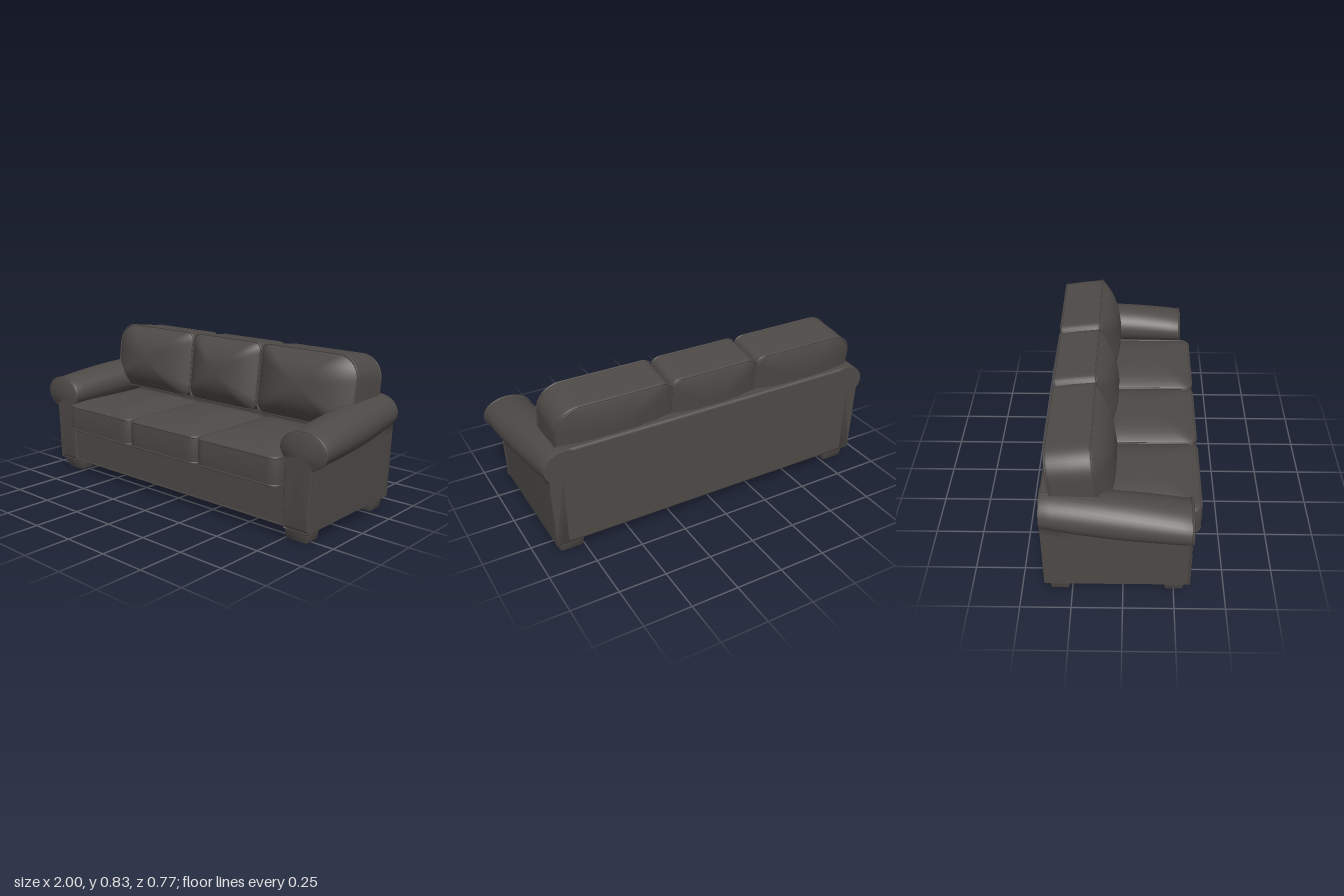
import * as THREE from 'three';
import { toCreasedNormals } from 'three/addons/utils/BufferGeometryUtils.js';
import { RoundedBoxGeometry } from 'three/addons/geometries/RoundedBoxGeometry.js';

const leather = new THREE.MeshStandardMaterial({ color: 0x4d4947 });
leather.name = 'darkLeather';

function add(parent, name, geometry, x = 0, y = 0, z = 0) {
  const mesh = new THREE.Mesh(geometry, leather);
  mesh.name = name;
  mesh.position.set(x, y, z);
  parent.add(mesh);
  return mesh;
}

// Skin over closed rings, counter-clockwise seen from +z, ordered front to back
function loft(rings) {
  const n = rings[0].length, index = [];
  for (let i = 0; i < rings.length - 1; i++) {
    for (let j = 0; j < n; j++) {
      const a = i * n + j, b = i * n + (j + 1) % n, c = a + n, d = b + n;
      if (i > 0) index.push(a, c, b);
      if (i < rings.length - 2) index.push(b, c, d);
    }
  }
  const geometry = new THREE.BufferGeometry().setFromPoints(rings.flat());
  geometry.setIndex(index);
  geometry.computeVertexNormals();
  return geometry;
}

function piping(points, radius = 0.005) {
  const path = new THREE.CatmullRomCurve3(points, true, 'centripetal');
  return new THREE.TubeGeometry(path, points.length * 2, radius, 6, true);
}

// Rounded rectangle with separate radii for the -x and +x upper corners
function outline(w, h, rLeft, rRight, rLow) {
  const x = w / 2, y = h / 2, s = new THREE.Shape();
  s.absarc(x - rLow, -y + rLow, rLow, -Math.PI / 2, 0);
  s.absarc(x - rRight, y - rRight, rRight, 0, Math.PI / 2);
  s.absarc(-x + rLeft, y - rLeft, rLeft, Math.PI / 2, Math.PI);
  s.absarc(-x + rLow, -y + rLow, rLow, Math.PI, Math.PI * 1.5);
  s.closePath();
  return s.getSpacedPoints(96).slice(0, -1);
}

// Boxed cushion: two domed faces, a slightly puffed band and piped seams
function cushion(parent, name, points, depth, bulgeFront, bulgeBack, power) {
  const group = new THREE.Group();
  group.name = name;
  const ring = (s, z) => points.map(p => new THREE.Vector3(p.x * s, p.y * s, z));
  const steps = [0, 0.15, 0.3, 0.45, 0.6, 0.72, 0.82, 0.9, 0.96, 1];
  const dome = s => 1 - Math.pow(s, power);
  const half = depth / 2;
  const rings = [
    ...steps.map(s => ring(s, half + bulgeFront * dome(s))),
    ...[0.5, 0, -0.5].map(k => ring(1.012 + 0.008 * (1 - 2 * Math.abs(k)), k * depth * 0.9)),
    ...steps.slice().reverse().map(s => ring(s, -half - bulgeBack * dome(s))),
  ];
  add(group, name + 'Pad', loft(rings));
  add(group, name + 'FrontPiping', piping(ring(1.005, half)));
  add(group, name + 'BackPiping', piping(ring(1.005, -half)));
  parent.add(group);
  return group;
}

// Rolled arm section at t = 0 (front) to 1 (back)
function armSection(t, z, inset, side) {
  const top = 0.553 + 0.115 * t - 0.06 * t * t;
  const under = 0.375 + 0.015 * t + 0.035 * t * t * t;
  const cx = 0.868 - 0.012 * t - 0.026 * t * t, rx = 0.128 - 0.016 * t * t;
  const cy = (top + under) / 2, ry = (top - under) / 2;
  const a0 = -Math.acos((0.918 - cx) / rx);
  const a1 = Math.PI * 2 - Math.acos((0.768 - cx) / rx);
  const pts = [];
  for (let i = 0; i <= 4; i++) pts.push([0.768 + 0.137 * i / 4, 0.065]);
  for (let i = 1; i < 8; i++) pts.push([0.905 + 0.013 * i / 8, 0.065 + (cy + Math.sin(a0) * ry - 0.065) * i / 8]);
  for (let i = 0; i <= 28; i++) {
    const a = a0 + (a1 - a0) * i / 28;
    pts.push([cx + Math.cos(a) * rx, cy + Math.sin(a) * ry]);
  }
  const end = pts[pts.length - 1][1];
  for (let i = 1; i < 8; i++) pts.push([0.768, end + (0.065 - end) * i / 8]);
  const mx = 0.848, my = cy - 0.03;
  const ring = pts.map(([x, y]) =>
    new THREE.Vector3(side * (mx + (x - mx) * inset), my + (y - my) * inset, z));
  return side < 0 ? ring.reverse() : ring;
}

function arm(parent, side) {
  const name = side > 0 ? 'leftArm' : 'rightArm';
  const front = 0.318, back = -0.378, rings = [];
  rings.push(armSection(0, 0.33, 0, side), armSection(0, 0.33, 0.94, side), armSection(0, 0.327, 0.98, side));
  for (let i = 0; i <= 14; i++) {
    const t = i / 14;
    rings.push(armSection(t, front + (back - front) * t, 1, side));
  }
  rings.push(armSection(1, -0.385, 0.98, side), armSection(1, -0.385, 0, side));
  add(parent, name, toCreasedNormals(loft(rings), 0.75));
  add(parent, name + 'Piping', piping(armSection(0, 0.322, 0.995, side), 0.006));
}

export function createModel() {
  const sofa = new THREE.Group();
  sofa.name = 'sofa';

  // Frame
  add(sofa, 'seatBase', new RoundedBoxGeometry(1.58, 0.215, 0.69, 3, 0.012), 0, 0.1725, -0.03);
  add(sofa, 'backFrame', new RoundedBoxGeometry(1.72, 0.543, 0.16, 4, 0.016), 0, 0.3365, -0.305);
  add(sofa, 'frontHem', new THREE.CylinderGeometry(0.005, 0.005, 1.55, 8).rotateZ(Math.PI / 2), 0, 0.071, 0.313);

  // Arms
  for (const side of [1, -1]) arm(sofa, side);

  // Tapered feet
  for (const x of [-0.82, 0.82]) {
    for (const z of [0.252, -0.31]) {
      const foot = new RoundedBoxGeometry(0.15, 0.09, 0.112, 3, 0.012);
      const p = foot.attributes.position;
      for (let i = 0; i < p.count; i++) {
        const k = 0.9 + 0.1 * (p.getY(i) / 0.045);
        p.setX(i, p.getX(i) * k);
        p.setZ(i, p.getZ(i) * k);
      }
      foot.computeVertexNormals();
      add(sofa, 'foot', toCreasedNormals(foot, 0.7), x, 0.045, z);
    }
  }

  // Seat and back cushions, three of each
  for (const k of [-1, 0, 1]) {
    const seatWidth = k ? 0.505 : 0.485;
    const seat = cushion(sofa, 'seatCushion', outline(seatWidth, 0.57, 0.045, 0.045, 0.045), 0.135, 0.05, 0.025, 3.2);
    seat.rotation.x = Math.PI / 2;
    seat.scale.z = -1;
    seat.rotation.set(-Math.PI / 2, 0, 0);
    seat.scale.z = 1;
    seat.position.set(k * 0.501, 0.345, 0.093);

    const backWidth = k ? 0.6 : 0.485;
    const rLeft = k < 0 ? 0.12 : 0.045, rRight = k > 0 ? 0.12 : 0.045;
    const pad = cushion(sofa, 'backCushion', outline(backWidth, 0.365, rLeft, rRight, 0.05), 0.215, 0.085, 0.03, 2.6);
    pad.rotation.x = -0.13;
    pad.position.set(k * 0.553, 0.633, -0.227);
  }
  return sofa;
}
